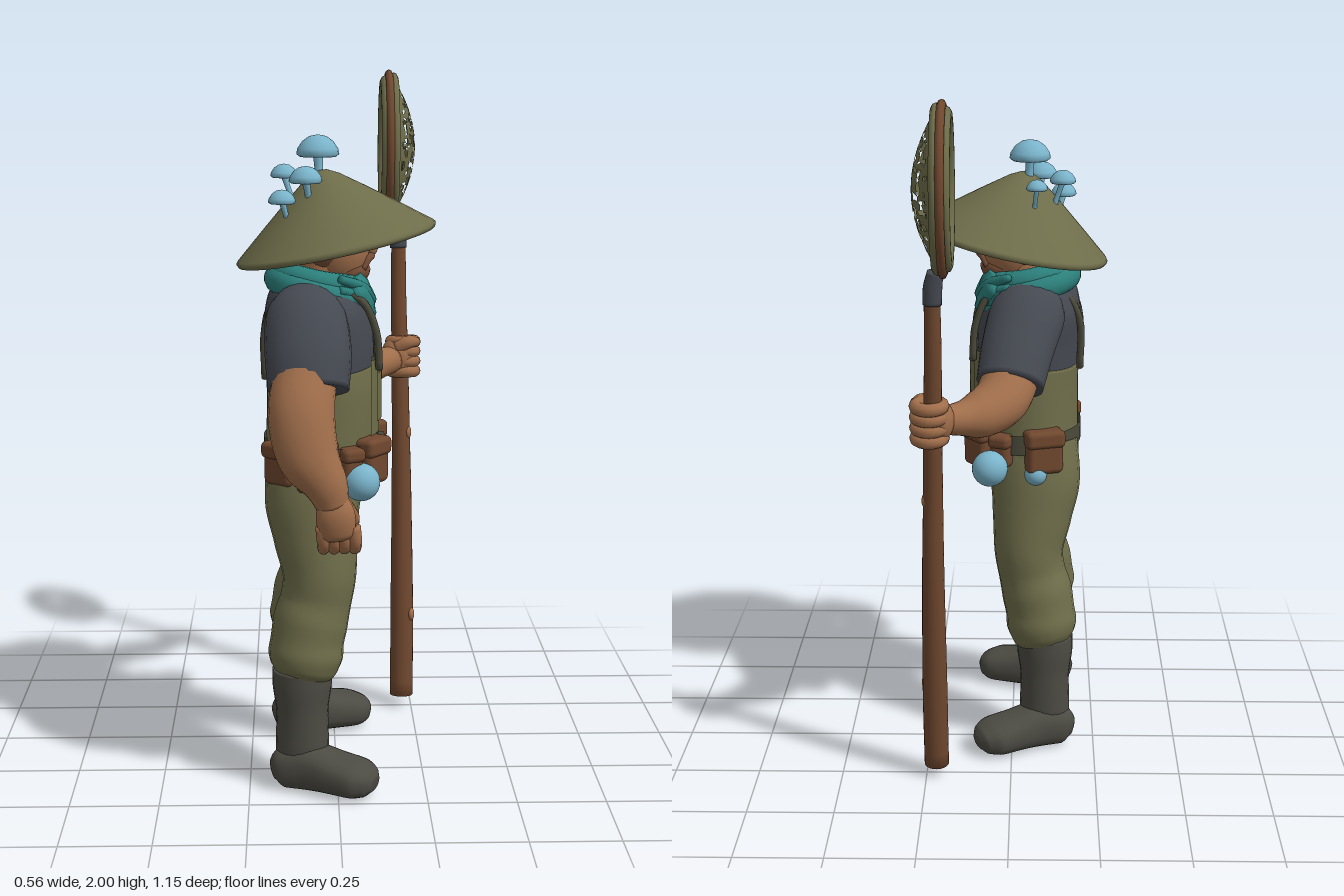
import * as THREE from 'three';
import { RoundedBoxGeometry } from 'three/addons/geometries/RoundedBoxGeometry.js';

const paint = (name, color, double) => {
  const m = new THREE.MeshStandardMaterial({ color });
  m.name = name;
  if (double) m.side = THREE.DoubleSide;
  return m;
};
const MZ = 0.165; // body mid-plane

// Smooth tube through [x, y, z, radiusA, radiusB] sections; ref sets the direction of radiusA
function sweep(sections, ref = new THREE.Vector3(1, 0, 0), steps = 6, sides = 20, power = 1) {
  const curve = new THREE.CatmullRomCurve3(sections.map(s => new THREE.Vector3(s[0], s[1], s[2])));
  const radii = new THREE.CatmullRomCurve3(
    sections.map(s => new THREE.Vector3(s[3], s[4] ?? s[3], 0)), false, 'catmullrom', 0.4);
  const n = (sections.length - 1) * steps, pos = [], idx = [];
  const soft = v => Math.sign(v) * Math.abs(v) ** power;
  for (let i = 0; i <= n; i++) {
    const c = curve.getPoint(i / n), t = curve.getTangent(i / n), r = radii.getPoint(i / n);
    const u = ref.clone().addScaledVector(t, -ref.dot(t)).normalize();
    const v = t.clone().cross(u);
    for (let j = 0; j < sides; j++) {
      const a = j / sides * Math.PI * 2;
      const p = c.clone().addScaledVector(u, soft(Math.cos(a)) * r.x).addScaledVector(v, soft(Math.sin(a)) * r.y);
      pos.push(p.x, p.y, p.z);
      const k = (j + 1) % sides, A = i * sides + j, B = i * sides + k;
      if (i < n) idx.push(A, B, A + sides, B, B + sides, A + sides);
      if (i === 0) idx.push((n + 1) * sides, B, A);
      if (i === n) idx.push((n + 1) * sides + 1, A, B);
    }
  }
  for (const e of [sections[0], sections[sections.length - 1]]) pos.push(e[0], e[1], e[2]);
  const g = new THREE.BufferGeometry();
  g.setAttribute('position', new THREE.Float32BufferAttribute(pos, 3));
  g.setIndex(idx);
  g.computeVertexNormals();
  return g;
}

export function createModel() {
  const root = new THREE.Group();
  const olive = paint('olive cloth', 0x6e6d4a, true), shirtGrey = paint('slate cloth', 0x454951);
  const skin = paint('skin', 0xa06e4b), brown = paint('brown leather and wood', 0x70482f);
  const boot = paint('boot rubber', 0x4c4b43), teal = paint('teal scarf', 0x2c807c);
  const blue = paint('blue mushroom', 0x7ab4cb), dark = paint('dark strap', 0x4b4a3b, true);
  const hair = paint('beard', 0x754c35);
  const X = new THREE.Vector3(1, 0, 0), Y = new THREE.Vector3(0, 1, 0), Z = new THREE.Vector3(0, 0, 1);
  const add = (name, geo, mat, parent = root) => {
    const m = new THREE.Mesh(geo, mat);
    m.name = name;
    parent.add(m);
    return m;
  };
  const ball = (name, mat, p, s) => add(name, new THREE.SphereGeometry(1, 24, 16).scale(...s).translate(...p), mat);

  // Legs with bunched cuffs, and boots
  for (const k of [1, -1]) {
    const side = rows => rows.map(([x, y, s, a, b]) => [x, y, MZ + k * s, a, b]);
    add('trouserLeg', sweep(side([[-.1, .325, .183, .08, .08], [-.095, .35, .18, .096, .097], [-.09, .385, .176, .106, .106],
      [-.085, .425, .17, .104, .104], [-.075, .48, .16, .106, .108], [-.06, .54, .152, .101, .101], [-.05, .61, .147, .104, .104],
      [-.06, .72, .128, .12, .11], [-.068, .82, .11, .135, .114], [-.055, .93, .09, .14, .11]])), olive);
    add('bootShaft', sweep(side([[-.1, .05, .2, .075, .055], [-.1, .12, .192, .076, .068], [-.1, .22, .187, .074, .074],
      [-.1, .3, .183, .084, .082], [-.1, .35, .183, .084, .082]])), boot);
    add('bootFoot', sweep(side([[-.178, .05, .19, .034, .03], [-.152, .058, .2, .058, .054], [-.08, .066, .218, .066, .064],
      [0, .057, .25, .056, .073], [.055, .05, .274, .05, .076], [.088, .045, .29, .038, .056], [.103, .042, .297, .02, .03]]),
      Y, 6, 24, .8), boot);
  }

  // Torso
  add('trouserSeat', sweep([[-.06, .77, MZ, .07, .1], [-.06, .84, MZ, .137, .2], [-.045, .95, MZ, .154, .203],
    [-.04, 1.06, MZ, .157, .203], [-.04, 1.13, MZ, .157, .203], [-.045, 1.18, MZ, .155, .201]], X, 6, 36), olive);
  add('shirtBody', sweep([[-.045, 1.12, MZ, .148, .19], [-.045, 1.24, MZ, .152, .2], [-.055, 1.33, MZ, .148, .205],
    [-.06, 1.39, MZ, .132, .17], [-.06, 1.44, MZ, .09, .1]], X, 6, 36), shirtGrey);
  const band = (name, mat, y, h, rx, rz, arc) => add(name,
    new THREE.CylinderGeometry(1, 1, h, 40, 1, true, Math.PI / 2 - arc / 2, arc).scale(rx, 1, rz).translate(-.04, y, MZ), mat);
  band('bib', olive, 1.115, .225, .163, .212, 1.2);
  band('bibPocket', olive, 1.11, .14, .17, .212, .9);
  band('bibHem', dark, 1.222, .012, .165, .214, 1.2);
  band('pocketHem', dark, 1.18, .008, .171, .213, .9);
  band('belt', dark, .955, .06, .166, .214, Math.PI * 2);
  for (const k of [1, -1])
    add('shoulderStrap', sweep([[.118, 1.19, .1], [.108, 1.3, .1], [.065, 1.385, .097], [-.05, 1.42, .09],
      [-.15, 1.39, .085], [-.197, 1.31, .075], [-.2, 1.16, .065]].map(([x, y, s]) => [x, y, MZ + k * s, .024, .011]), Z, 5, 10), dark);
  add('buckle', new RoundedBoxGeometry(.02, .06, .075, 2, .006).translate(.13, .955, MZ), dark);

  // Belt pouches with flaps: [angle from the front, width, height]
  for (const [deg, w, h] of [[37, .1, .13], [64, .06, .1], [96, .11, .14], [131, .1, .12],
    [-37, .1, .13], [-66, .06, .1], [-108, .11, .13]]) {
    const a = deg * Math.PI / 180, pouch = new THREE.Group();
    pouch.name = 'beltPouch';
    add('pouchBody', new RoundedBoxGeometry(.062, h, w, 3, .018), brown, pouch);
    add('pouchFlap', new RoundedBoxGeometry(.07, h * .4, w + .008, 3, .015).translate(.003, h * .32, 0), brown, pouch);
    pouch.position.set(-.04 + .17 * Math.cos(a), .935, MZ + .208 * Math.sin(a));
    pouch.rotation.y = -a;
    root.add(pouch);
  }
  for (const [x, y, z, r] of [[.065, .89, .36, .053], [.065, .89, -.06, .053], [-.07, .868, -.045, .033]])
    ball('beltOrb', blue, [x, y, z], [r, r, r]);

  // Hanging arm
  add('rightSleeve', sweep([[-.08, 1.385, .25, .08, .065], [-.085, 1.34, .315, .112, .088], [-.08, 1.25, .382, .118, .09],
    [-.08, 1.16, .422, .11, .084]]), shirtGrey);
  add('rightForearm', sweep([[-.085, 1.22, .41, .085, .07], [-.1, 1.11, .472, .09, .076], [-.082, 1, .505, .084, .068],
    [-.035, .92, .52, .06, .052], [-.015, .86, .522, .044, .04]]), skin);
  add('rightPalm', sweep([[-.02, .89, .522, .04, .032], [-.01, .84, .53, .053, .036], [-.005, .79, .527, .05, .03],
    [-.003, .775, .524, .04, .02]]), skin);
  for (let i = 0; i < 4; i++) {
    const x = -.045 + i * .028;
    add('rightFinger', sweep([[x, .81, .527, .019], [x + .004, .765, .522, .019], [x + .004, .74, .497, .017],
      [x + .002, .742, .478, .01]], X, 4, 10), skin);
  }
  add('rightThumb', sweep([[.015, .86, .505, .024], [.035, .82, .47, .022], [.035, .785, .455, .018], [.032, .77, .452, .009]], X, 4, 10), skin);

  // Arm holding the pole
  add('leftSleeve', sweep([[-.065, 1.385, .08, .08, .065], [-.045, 1.34, .015, .11, .088], [-.015, 1.25, -.07, .105, .088],
    [.005, 1.165, -.14, .097, .08]]), shirtGrey);
  add('leftForearm', sweep([[-.005, 1.2, -.115, .082, .07], [.03, 1.135, -.188, .08, .072], [.088, 1.108, -.243, .07, .066],
    [.145, 1.108, -.29, .05, .047], [.19, 1.115, -.325, .042, .04]]), skin);
  ball('leftPalm', skin, [.205, 1.12, -.345], [.052, .065, .05]);
  for (let i = 0; i < 4; i++)
    add('leftFinger', new THREE.TorusGeometry(.037, .019, 10, 20).rotateX(Math.PI / 2 - .1)
      .translate(.222, 1.072 + i * .031, -.352 - i * .003), skin);
  add('leftThumb', sweep([[.2, 1.15, -.32, .022], [.24, 1.17, -.315, .02], [.265, 1.165, -.34, .015]], Y, 4, 10), skin);

  // Pole
  add('pole', sweep([[.22, .035, -.258, .036], [.221, .3, -.282, .036], [.219, .7, -.318, .031], [.216, .9, -.332, .028],
    [.213, 1.12, -.358, .026], [.209, 1.3, -.376, .024], [.208, 1.49, -.392, .022]]), brown);
  add('poleFerrule', sweep([[.208, 1.455, -.39, .026], [.206, 1.5, -.393, .026], [.198, 1.545, -.398, .022]]), shirtGrey);
  for (const [x, y, z] of [[.248, .3, -.268], [.237, .88, -.326]])
    ball('poleKnot', skin, [x, y, z], [.012, .022, .02]);

  // Net head: domed rim and two ragged mesh layers
  let seed = 7;
  const rand = () => (seed = (seed * 16807) % 2147483647) / 2147483647;
  const dish = (p, q, depth) => [.18 + depth * (1 - p * p - q * q), 1.765 + .224 * q, -.415 + .157 * p];
  const quads = (list) => {
    const g = new THREE.BufferGeometry();
    g.setAttribute('position', new THREE.Float32BufferAttribute(list.flatMap(([a, b, c, d]) => [a, b, c, b, d, c]).flat(), 3));
    g.computeVertexNormals();
    return g;
  };
  for (const depth of [.078, .045]) {
    const cells = [], N = 24, M = 34;
    const jitter = Array.from({ length: (N + 1) * (M + 1) }, () => [(rand() - .5) * .06, (rand() - .5) * .04]);
    const at = (i, j) => {
      const [a, b] = jitter[j * (N + 1) + i];
      return dish(i / N * 2 - 1 + a, j / M * 2 - 1 + b, depth);
    };
    for (let i = 0; i < N; i++) for (let j = 0; j < M; j++) {
      const r = Math.hypot((i + .5) / N * 2 - 1, (j + .5) / M * 2 - 1);
      if (r < .84 && (r > .76 || rand() > .4)) cells.push([at(i, j), at(i + 1, j), at(i, j + 1), at(i + 1, j + 1)]);
    }
    add('netMesh', quads(cells), olive);
    const rim = [];
    for (let i = 0; i < 48; i++) for (const r of [.78, .89]) {
      const pt = (k, q) => dish(q * Math.cos(k * Math.PI / 24), q * Math.sin(k * Math.PI / 24), depth);
      rim.push([pt(i, r), pt(i + 1, r), pt(i, r + .11), pt(i + 1, r + .11)]);
    }
    add('netRim', quads(rim), olive);
  }
  const hoop = (name, r, tube, x, mat) => add(name, new THREE.TorusGeometry(r, tube, 10, 56)
    .rotateY(Math.PI / 2).scale(1, 1.41, 1).translate(x, 1.765, -.415), mat);
  hoop('netHoopFront', .146, .014, .191, olive);
  hoop('netHoopEdge', .154, .0125, .176, brown);
  hoop('netHoopBack', .139, .015, .164, olive);

  // Head and face
  ball('head', skin, [.005, 1.52, .155], [.09, .12, .088]);
  add('neck', new THREE.CylinderGeometry(.07, .08, .16, 20).translate(-.03, 1.42, .155), skin);
  ball('backHair', hair, [-.02, 1.53, .155], [.085, .1, .092]);
  ball('beard', hair, [.03, 1.452, .155], [.066, .045, .07]);
  ball('chin', skin, [.075, 1.455, .155], [.022, .02, .026]);
  ball('nose', skin, [.098, 1.518, .155], [.02, .026, .016]);
  add('moustache', sweep([[.075, 1.46, .198, .008], [.09, 1.488, .18, .011], [.098, 1.493, .155, .012],
    [.09, 1.488, .13, .011], [.075, 1.46, .112, .008]], X, 5, 10), hair);
  for (const k of [1, -1]) {
    ball('eye', dark, [.087, 1.54, .155 + k * .032], [.005, .006, .012]);
    ball('eyebrow', hair, [.086, 1.56, .155 + k * .034], [.008, .007, .022]);
  }

  // Scarf: stacked tilted folds, a pointed front drape and its creases
  for (const [y, x, r, tube, tilt] of [[1.43, -.05, .105, .036, -.2], [1.4, -.048, .117, .042, -.27], [1.375, -.038, .112, .034, -.3]])
    add('scarfFold', new THREE.TorusGeometry(r, tube, 14, 40).rotateX(Math.PI / 2).rotateZ(tilt)
      .scale(1, 1, 1.03).translate(x, y, .153), teal);
  add('scarfDrape', sweep([[.035, 1.435, .155, .045, .1], [.055, 1.4, .155, .043, .128], [.075, 1.36, .155, .036, .1],
    [.09, 1.33, .155, .024, .055], [.098, 1.303, .155, .008, .012]]), teal);
  for (const [y, dip] of [[1.425, .055], [1.395, .062]])
    add('scarfCrease', sweep([[.01, y + .02, .295, .012], [.07, y - .01, .235, .016], [.098, y - dip, .155, .017],
      [.07, y - .01, .075, .016], [.01, y + .02, .015, .012]], X, 6, 10), teal);

  // Conical hat, tipped back
  const hat = add('hat', new THREE.LatheGeometry([[0, .178], [.2, .048], [.27, -.008], [.281, -.01], [.286, 0],
    [.28, .008], [.2, .072], [.12, .135], [.05, .188], [.018, .205], [0, .207]].map(p => new THREE.Vector2(...p)), 40), olive);
  hat.position.set(0, 1.53, .153);
  hat.rotation.z = .21;

  // Mushrooms on the hat
  const cap = [[0, -.1], [.3, -.12], [.85, -.2], [1, -.08], [.95, .18], [.72, .52], [.4, .74], [0, .82]];
  for (const [x, z, r, y, bx, bz] of [[-.05, .135, .06, 1.78, -.045, .14], [-.145, .095, .038, 1.715, -.115, .11],
    [-.07, .01, .031, 1.705, -.06, .045], [-.085, .25, .046, 1.712, -.07, .225], [-.15, .255, .038, 1.655, -.125, .235]]) {
    add('mushroomCap', new THREE.LatheGeometry(cap.map(([a, b]) => new THREE.Vector2(a * r, b * r)), 20).translate(x, y, z), blue);
    add('mushroomStem', sweep([[bx, y - .09, bz, r * .28], [(x + bx) / 2, y - .045, (z + bz) / 2, r * .2], [x, y, z, r * .24]], X, 4, 10), blue);
  }
  return root;
}
